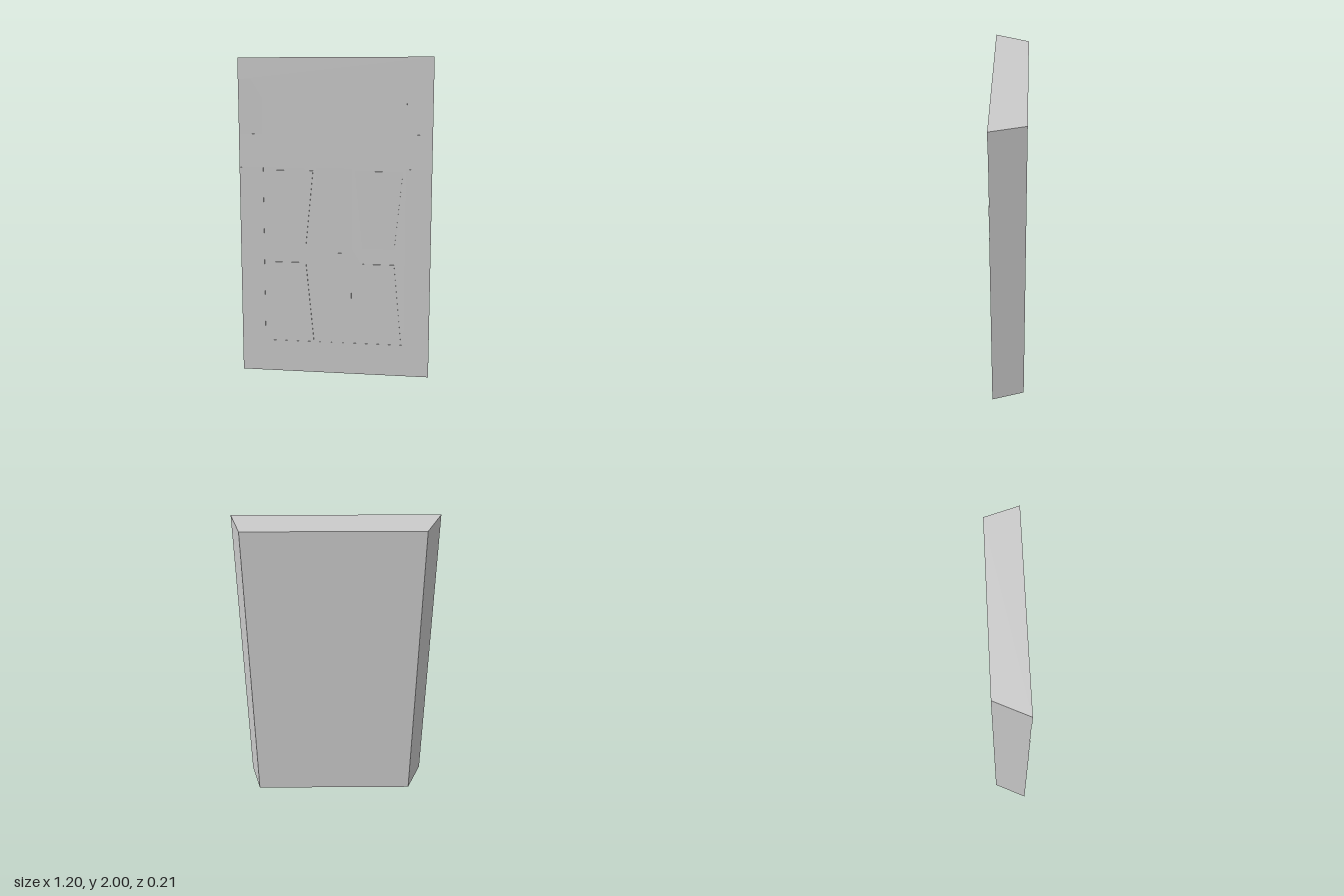
import * as THREE from 'three';

const FACE = 0.097; // front plane of the main slab

export function createModel() {
  const model = new THREE.Group();
  const mat = new THREE.MeshStandardMaterial({ color: 0xcccccc, flatShading: true });

  function add(name, geometry) {
    const mesh = new THREE.Mesh(geometry, mat);
    mesh.name = name;
    model.add(mesh);
    return mesh;
  }
  const outline = (pts) => new THREE.Shape(pts.map(([x, y]) => new THREE.Vector2(x, y)));

  // Slab with splayed sides, drawn as a plan (x, -z) and extruded upwards
  const plan = outline([[-0.6, -FACE], [0.6, -FACE], [0.537, 0.104], [-0.505, 0.104]]);
  const slab = new THREE.ExtrudeGeometry(plan, { depth: 2, bevelEnabled: false });
  slab.rotateX(-Math.PI / 2);
  add('slab', slab);

  // Thin rectangular facing on the front plane
  function facing(name, x0, x1, y0, y1, depth) {
    const g = new THREE.BoxGeometry(x1 - x0, y1 - y0, depth);
    g.translate((x0 + x1) / 2, (y0 + y1) / 2, FACE + depth / 2);
    add(name, g);
  }

  // Horizontal bands
  facing('plinth', -0.6, 0.6, 0, 0.205, 0.002);
  facing('lintel', -0.6, 0.6, 1.325, 1.405, 0.001);
  facing('frieze', -0.6, 0.6, 1.405, 1.535, 0.002);
  facing('signBoard', -0.449, 0.442, 1.535, 1.87, 0.003);
  facing('cornice', -0.6, 0.6, 1.87, 2, 0.002);

  // Door jambs and the middle stile
  facing('rightJamb', -0.6, -0.449, 0.205, 1.325, 0.002);
  facing('leftJamb', 0.442, 0.6, 0.205, 1.325, 0.002);
  facing('middleStile', -0.114, 0.107, 0.205, 1.325, 0.001);

  // Raised tapered door panels: wide at the outer end, narrow at mid-height
  const rise = 0.006;
  for (const [side, cx] of [['right', -0.281], ['left', 0.276]]) {
    for (const [level, wideY, narrowY] of [['Upper', 1.31, 0.826], ['Lower', 0.22, 0.725]]) {
      const pts = [[cx - 0.147, wideY], [cx + 0.147, wideY], [cx + 0.099, narrowY], [cx - 0.099, narrowY]];
      const g = new THREE.ExtrudeGeometry(outline(pts), { depth: rise, bevelEnabled: false });
      g.translate(0, 0, FACE);
      add(side + level + 'Panel', g);
    }
  }

  // Pair of pull handles
  facing('rightHandle', -0.049, -0.027, 0.7, 0.792, rise);
  facing('leftHandle', 0.022, 0.044, 0.7, 0.792, rise);

  return model;
}
